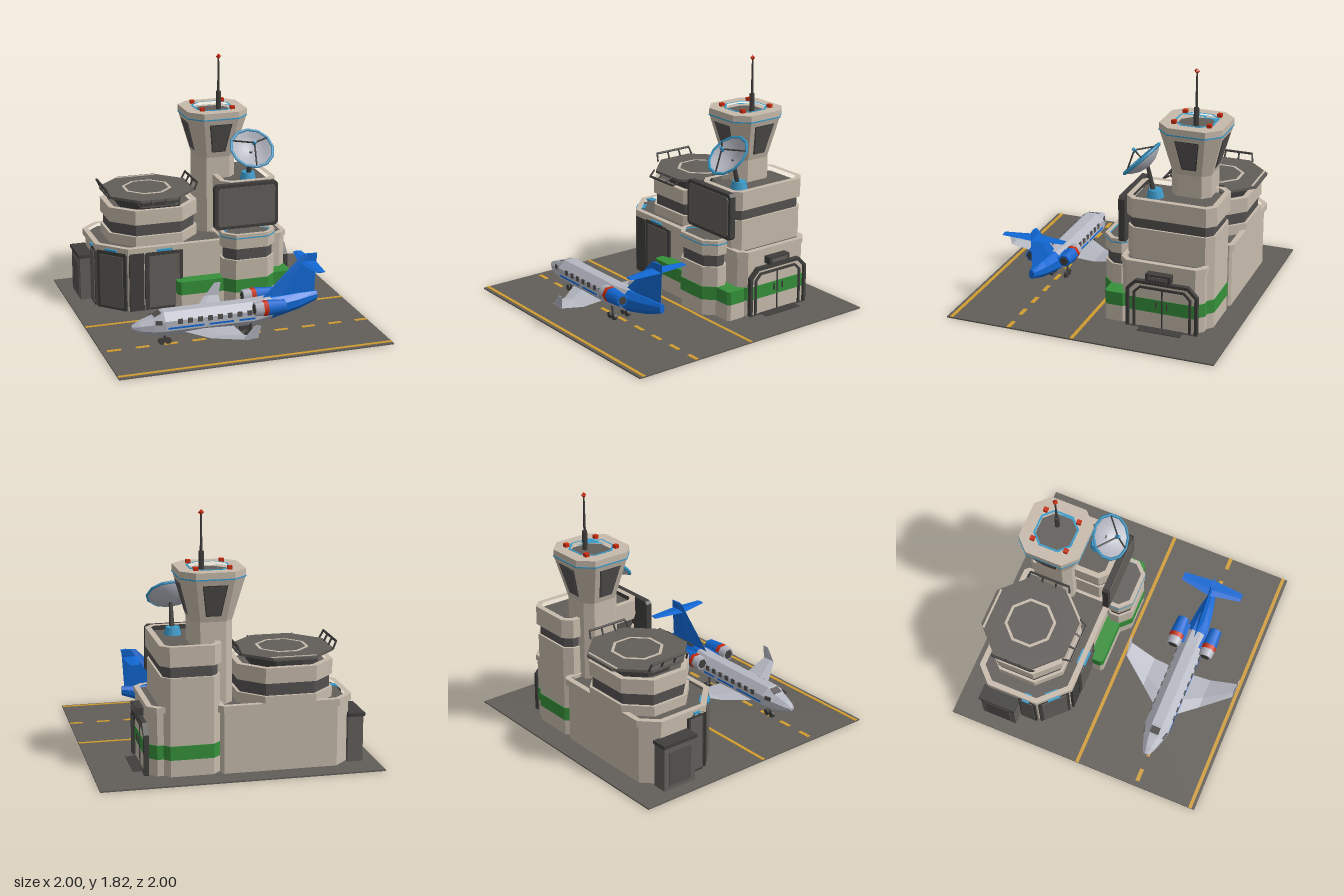
import * as THREE from 'three';

const M = {};
for (const [name, hex] of Object.entries({
  cream: 0xc6baab, asphalt: 0x625e5a, charcoal: 0x403f3d, glass: 0x545150, paleGrey: 0xb4b6c1,
  blue: 0x1168d4, trimBlue: 0x3a9aca, green: 0x35903a, yellow: 0xcf9b30, red: 0xcb2c0e,
})) { M[name] = new THREE.MeshStandardMaterial({ color: hex }); M[name].name = name; }

// Rectangle with cut corners; c lists cuts at (x0,y0) (x1,y0) (x1,y1) (x0,y1), i insets the outline
function plan(x0, x1, y0, y1, c, i = 0) {
  const [a, b, d, e] = (Array.isArray(c) ? c : [c, c, c, c]).map(v => Math.max(v - 0.586 * i, 0.002));
  x0 += i; x1 -= i; y0 += i; y1 -= i;
  return [[x0 + a, y0], [x1 - b, y0], [x1, y0 + b], [x1, y1 - d], [x1 - d, y1], [x0 + e, y1], [x0, y1 - e], [x0, y0 + a]];
}

function extrude(pts, depth, hole) {
  const s = new THREE.Shape(pts.map(p => new THREE.Vector2(...p)));
  if (hole) s.holes.push(new THREE.Path(hole.map(p => new THREE.Vector2(...p))));
  return new THREE.ExtrudeGeometry(s, { depth, bevelEnabled: false });
}

// Horizontal slab from an x,z outline
function slab(pts, y0, y1, hole) {
  const flip = l => l && l.map(([x, z]) => [x, -z]);
  return extrude(flip(pts), y1 - y0, flip(hole)).rotateX(-Math.PI / 2).translate(0, y0, 0);
}

// Flat-shaded skin over equal-length loops, capped at both ends and turned outward
function loft(loops) {
  const n = loops[0].length, tris = [];
  const last = loops.length - 1;
  for (let k = 0; k < last; k++) for (let j = 0; j < n; j++) {
    const a = loops[k][j], b = loops[k][(j + 1) % n], c = loops[k + 1][(j + 1) % n], d = loops[k + 1][j];
    tris.push([a, b, c], [a, c, d]);
  }
  for (let j = 1; j < n - 1; j++) {
    tris.push([loops[0][0], loops[0][j + 1], loops[0][j]]);
    tris.push([loops[last][0], loops[last][j], loops[last][j + 1]]);
  }
  const V = p => new THREE.Vector3(...p);
  const vol = tris.reduce((s, [a, b, c]) => s + V(a).dot(V(b).cross(V(c))), 0);
  const pos = tris.flatMap(([a, b, c]) => (vol < 0 ? [a, c, b] : [a, b, c]).flat());
  const g = new THREE.BufferGeometry();
  g.setAttribute('position', new THREE.Float32BufferAttribute(pos, 3));
  g.computeVertexNormals();
  return g;
}

// Diamond aerofoil section from xa to xb; upright ones are thick along z
function foil(xa, xb, y, z, t, upright = false) {
  const m = xa + (xb - xa) * 0.35, h = t / 2;
  return upright ? [[xa, y, z], [m, y, z + h], [xb, y, z], [m, y, z - h]]
    : [[xa, y, z], [m, y + h, z], [xb, y, z], [m, y - h, z]];
}

function put(parent, name, geo, mat) {
  const m = new THREE.Mesh(geo, mat);
  m.name = name;
  parent.add(m);
  return m;
}
const box = (x0, x1, y0, y1, z0, z1) => new THREE.BoxGeometry(x1 - x0, y1 - y0, z1 - z0)
  .translate((x0 + x1) / 2, (y0 + y1) / 2, (z0 + z1) / 2);

function rod(parent, name, a, b, r, mat, r2 = r) {
  const A = new THREE.Vector3(...a), B = new THREE.Vector3(...b), d = B.clone().sub(A);
  const m = put(parent, name, new THREE.CylinderGeometry(r2, r, d.length(), 6), mat);
  m.position.copy(A).add(B).multiplyScalar(0.5);
  m.quaternion.setFromUnitVectors(new THREE.Vector3(0, 1, 0), d.normalize());
}

// Upright panel centred on the wall line a-b
function panel(parent, name, [ax, az], [bx, bz], y0, y1, t, mat) {
  const m = put(parent, name, new THREE.BoxGeometry(Math.hypot(bx - ax, bz - az), y1 - y0, t), mat);
  m.position.set((ax + bx) / 2, (y0 + y1) / 2, (az + bz) / 2);
  m.rotation.y = Math.atan2(az - bz, bx - ax);
}

// Stacked wall layers [y0, y1, inset, material], then parapet and sunken roof
function block(parent, name, args, layers, top, lip, rim = 0.04) {
  const g = new THREE.Group();
  g.name = name;
  parent.add(g);
  for (const [y0, y1, i, mat] of layers) put(g, name + 'Wall', slab(plan(...args, i), y0, y1), mat);
  put(g, name + 'Parapet', slab(plan(...args), top - lip, top, plan(...args, rim)), M.cream);
  put(g, name + 'Roof', slab(plan(...args, rim - 0.005), top - lip, top - lip * 0.5), M.asphalt);
}

function buildGround(root) {
  put(root, 'ground', box(-1, 1, 0, 0.01, -1, 1), M.asphalt);
  for (const z of [0.04, 0.965]) put(root, 'runwayEdgeLine', box(-1, 1, 0.01, 0.013, z - 0.013, z + 0.013), M.yellow);
  for (let k = 0; k < 10; k++) {
    const x = -0.96 + k * 0.207;
    put(root, 'runwayDash', box(x, Math.min(x + 0.1, 1), 0.01, 0.013, 0.505, 0.535), M.yellow);
  }
}

function buildTerminal(root) {
  const { cream, glass, green, charcoal, asphalt, trimBlue } = M;
  block(root, 'hangar', [-0.82, 0.15, -0.86, -0.15, [0.12, 0.03, 0.03, 0.2]], [[0.01, 0.45, 0.02, cream]], 0.5, 0.05);
  block(root, 'padHouse', [-0.69, -0.01, -0.86, -0.26, 0.16],
    [[0.45, 0.55, 0, cream], [0.55, 0.64, 0.02, glass], [0.64, 0.7, 0, cream]], 0.75, 0.05);
  block(root, 'officeBlock', [0.12, 0.55, -0.84, -0.18, 0.06],
    [[0.01, 0.71, 0.01, cream], [0.13, 0.23, 0.005, green], [0.71, 0.79, 0.025, glass], [0.79, 0.86, 0, cream]], 0.93, 0.07);
  block(root, 'sideHall', [0.3, 0.635, -0.8, -0.17, 0.06],
    [[0.01, 0.46, 0.01, cream], [0.13, 0.23, 0.005, green]], 0.5, 0.04);
  block(root, 'entrance', [0.08, 0.49, -0.22, 0.015, 0.08],
    [[0.01, 0.38, 0.005, cream], [0.13, 0.23, 0, green], [0.38, 0.47, 0.02, glass], [0.47, 0.54, 0, cream],
      [0.548, 0.556, -0.003, trimBlue]], 0.58, 0.04, 0.03);
  put(root, 'frontLedge', slab(plan(-0.26, 0.625, -0.22, -0.06, 0.02), 0.01, 0.13), cream);
  put(root, 'frontLedgeBand', slab(plan(-0.26, 0.625, -0.22, -0.06, 0.02), 0.13, 0.23), green);

  // Hangar doors on the left wall, the angled corner and the front wall
  const doors = [[[-0.8, -0.5], [-0.8, -0.37]], [[-0.795, -0.353], [-0.622, -0.18]], [[-0.49, -0.17], [-0.2, -0.17]]];
  for (const [a, b] of doors) {
    const mix = t => [a[0] + (b[0] - a[0]) * t, a[1] + (b[1] - a[1]) * t];
    panel(root, 'hangarDoorFrame', a, b, 0.01, 0.46, 0.04, charcoal);
    panel(root, 'hangarDoor', mix(0.1), mix(0.9), 0.03, 0.43, 0.054, asphalt);
    panel(root, 'hangarLamp', mix(0.3), mix(0.7), 0.465, 0.48, 0.07, trimBlue);
  }
  put(root, 'hangarPillar', box(-0.61, -0.5, 0.01, 0.46, -0.19, -0.15), charcoal);

  // Service booth
  put(root, 'booth', box(-0.9, -0.79, 0.01, 0.34, -0.78, -0.51), asphalt);
  put(root, 'boothRoof', box(-0.91, -0.79, 0.34, 0.365, -0.79, -0.5), charcoal);
  put(root, 'boothPanel', box(-0.905, -0.9, 0.04, 0.3, -0.74, -0.55), glass);

  // Double door with arched frames on the right wall
  const arch = (w, h, c, t, cut) => extrude(plan(-w, w, 0.01, h, [0, 0, c, c]), t,
    cut && plan(-w + cut, w - cut, 0.011, h - cut, [0, 0, c * 0.8, c * 0.8])).rotateY(Math.PI / 2).translate(0.625, 0, -0.5);
  put(root, 'doorArch', arch(0.265, 0.37, 0.07, 0.035, 0.022), charcoal);
  put(root, 'doorSurround', arch(0.245, 0.35, 0.06, 0.015), cream);
  put(root, 'doorFrame', arch(0.215, 0.325, 0.05, 0.028, 0.016), charcoal);
  put(root, 'doorBand', box(0.63, 0.643, 0.13, 0.23, -0.74, -0.26), green);
  put(root, 'doorGap', box(0.63, 0.646, 0.01, 0.31, -0.505, -0.495), charcoal);
  for (const z of [-0.54, -0.46]) rod(root, 'doorHandle', [0.655, 0.17, z], [0.655, 0.22, z], 0.006, charcoal);
  put(root, 'doorLamp', box(0.62, 0.685, 0.385, 0.44, -0.575, -0.39), charcoal);
  put(root, 'doorLampGlass', box(0.685, 0.689, 0.4, 0.425, -0.555, -0.41), asphalt);
  put(root, 'doorMat', box(0.63, 0.72, 0.01, 0.014, -0.66, -0.34), charcoal);

  // Display board
  put(root, 'boardFrame', extrude(plan(0.045, 0.54, 0.58, 0.925, 0.02), 0.045).translate(0, 0, -0.18), charcoal);
  put(root, 'boardScreen', extrude(plan(0.07, 0.515, 0.605, 0.9, 0.015), 0.006).translate(0, 0, -0.135), asphalt);
}

function buildHelipad(root) {
  const pad = [-0.69, -0.02, -0.91, -0.25, 0.195], ring = [-0.53, -0.18, -0.755, -0.405, 0.103];
  put(root, 'padSupport', slab(plan(...pad, 0.1), 0.72, 0.81), M.charcoal);
  put(root, 'helipad', slab(plan(...pad), 0.81, 0.83), M.asphalt);
  put(root, 'padRing', slab(plan(...ring), 0.83, 0.833, plan(...ring, 0.02)), M.cream);
  put(root, 'padEdgeMark', box(-0.52, -0.2, 0.83, 0.833, -0.89, -0.875), M.cream);
  // Rails along the two sides and a lower one at the front
  const rail = (a, b, inA, inB) => {
    rod(root, 'padRail', a, b, 0.009, M.charcoal);
    for (let k = 0; k < 4; k++) {
      const at = (p, q) => p.map((v, j) => v + (q[j] - v) * k / 3);
      rod(root, 'railPost', at(inA, inB), at(a, b), 0.007, M.charcoal);
    }
  };
  for (const s of [-1, 1]) {
    const x = -0.355 + s * 0.35, xi = -0.355 + s * 0.325;
    rail([x, 0.88, -0.73], [x, 0.88, -0.42], [xi, 0.825, -0.74], [xi, 0.825, -0.41]);
  }
  rail([-0.5, 0.79, -0.2], [-0.21, 0.79, -0.2], [-0.52, 0.825, -0.255], [-0.19, 0.825, -0.255]);
}

function buildTower(root) {
  const g = new THREE.Group();
  g.name = 'controlTower';
  g.position.set(0.165, 0, -0.575);
  root.add(g);
  const sq = (h, c) => plan(-h, h, -h, h, c);
  const loop = (h, c, y) => sq(h, c).map(([x, z]) => [x, y, z]);
  put(g, 'towerShaft', loft([loop(0.145, 0.055, 0.01), loop(0.145, 0.055, 1.06), loop(0.23, 0.095, 1.375)]), M.cream);
  put(g, 'towerBand', slab(sq(0.147, 0.056), 0.13, 0.23), M.green);
  put(g, 'towerTrim', slab(sq(0.233, 0.096), 1.366, 1.375), M.trimBlue);
  put(g, 'towerCrown', slab(sq(0.23, 0.095), 1.375, 1.42, sq(0.145, 0.075)), M.cream);
  put(g, 'crownTrim', slab(sq(0.146, 0.075), 1.375, 1.423, sq(0.132, 0.068)), M.trimBlue);
  put(g, 'towerRoof', slab(sq(0.135, 0.07), 1.375, 1.39), M.asphalt);
  // Sloping windows on four sides
  const depth = y => 0.145 + (y - 1.06) / 0.315 * 0.085;
  const win = (e, t) => loft([t, -0.004].map(o => [[-0.045, 1.11, -e], [0.045, 1.11, -e], [0.08, 1.32, e], [-0.08, 1.32, e]]
    .map(([x, y, s]) => [x + Math.sign(x) * e, y + s, depth(y + s) + o])));
  for (let k = 0; k < 4; k++) {
    put(g, 'windowFrame', win(0.008, 0.003), M.charcoal).rotation.y = k * Math.PI / 2;
    put(g, 'towerWindow', win(0, 0.007), M.glass).rotation.y = k * Math.PI / 2;
  }
  for (const x of [-0.118, 0.118]) for (const z of [-0.13, 0.125])
    put(g, 'beacon', box(x - 0.016, x + 0.016, 1.42, 1.445, z - 0.016, z + 0.016), M.red);
  rod(g, 'antennaBase', [0.055, 1.38, -0.015], [0.055, 1.53, -0.015], 0.02, M.charcoal);
  rod(g, 'antenna', [0.055, 1.53, -0.015], [0.055, 1.79, -0.015], 0.01, M.charcoal, 0.006);
  put(g, 'antennaLight', new THREE.OctahedronGeometry(0.022).translate(0.055, 1.795, -0.015), M.red);
}

function buildDish(root) {
  put(root, 'dishBase', new THREE.CylinderGeometry(0.05, 0.065, 0.06, 8).translate(0.375, 0.92, -0.35), M.trimBlue);
  rod(root, 'dishMast', [0.375, 0.93, -0.335], [0.375, 1.12, -0.29], 0.02, M.charcoal, 0.014);
  const g = new THREE.Group();
  g.name = 'dish';
  g.position.set(0.37, 1.16, -0.245);
  g.rotation.x = 0.77;
  root.add(g);
  const prof = [[0, -0.075], [0.07, -0.062], [0.13, -0.03], [0.168, 0.005], [0.16, 0.008], [0.12, -0.025], [0.06, -0.052], [0, -0.062]];
  put(g, 'dishBowl', new THREE.LatheGeometry(prof.map(p => new THREE.Vector2(...p)), 12), M.paleGrey);
  put(g, 'dishRim', new THREE.TorusGeometry(0.162, 0.012, 4, 12).rotateX(Math.PI / 2), M.trimBlue);
  for (let k = 0; k < 3; k++) {
    const a = Math.PI / 2 + k * Math.PI * 2 / 3;
    rod(g, 'feedArm', [0.155 * Math.cos(a), 0, 0.155 * Math.sin(a)], [0, 0.08, 0], 0.006, M.charcoal);
  }
  put(g, 'feedHorn', new THREE.CylinderGeometry(0.012, 0.016, 0.035, 6).translate(0, 0.08, 0), M.trimBlue);
}

function buildPlane(root) {
  const g = new THREE.Group(), { paleGrey, blue, charcoal, glass, red } = M;
  g.name = 'aeroplane';
  g.position.z = 0.515;
  root.add(g);
  const ring = ([x, y, ry, rz]) => Array.from({ length: 8 }, (_, k) => {
    const a = (k + 0.5) * Math.PI / 4;
    return [x, y + 1.082 * ry * Math.sin(a), 1.082 * rz * Math.cos(a)];
  });
  const mid = [0.24, 0.197, 0.079, 0.085];
  put(g, 'fuselage', loft([[-0.78, 0.165, 0.012, 0.02], [-0.73, 0.162, 0.04, 0.045], [-0.64, 0.165, 0.062, 0.075],
    [-0.56, 0.178, 0.087, 0.095], [0.1, 0.178, 0.087, 0.095], mid].map(ring)), paleGrey);
  put(g, 'tailCone', loft([mid, [0.45, 0.222, 0.06, 0.055], [0.6, 0.245, 0.033, 0.02]].map(ring)), blue);
  put(g, 'tailFin', loft([foil(0.17, 0.58, 0.255, 0, 0.045, true), foil(0.49, 0.6, 0.567, 0, 0.02, true)]), blue);
  put(g, 'tailplane', loft([foil(0.505, 0.57, 0.505, -0.237, 0.01), foil(0.46, 0.59, 0.505, 0, 0.024),
    foil(0.505, 0.57, 0.505, 0.237, 0.01)]), blue);
  const shield = put(g, 'windshield', new THREE.BoxGeometry(0.055, 0.009, 0.07), glass);
  shield.position.set(-0.6, 0.246, 0);
  shield.rotation.z = 0.46;

  const wheel = (x, z) => {
    rod(g, 'gearLeg', [x, 0.03, z], [x, 0.12, z], 0.008, charcoal);
    for (const dx of [-0.025, 0.025])
      put(g, 'wheel', new THREE.CylinderGeometry(0.024, 0.024, 0.022, 8).rotateX(Math.PI / 2).translate(x + dx, 0.034, z), charcoal);
  };
  wheel(-0.54, 0);

  for (const s of [-1, 1]) {
    put(g, 'wing', loft([foil(-0.42, -0.05, 0.11, s * 0.05, 0.035), foil(-0.27, -0.035, 0.108, s * 0.23, 0.022),
      foil(-0.11, 0, 0.16, s * 0.438, 0.012)]), paleGrey);
    put(g, 'winglet', loft([foil(-0.11, 0, 0.157, s * 0.434, 0.012, true), foil(-0.03, 0.02, 0.252, s * 0.444, 0.008, true)]), paleGrey);
    const side = put(g, 'sideWindshield', new THREE.BoxGeometry(0.05, 0.03, 0.009), glass);
    side.position.set(-0.605, 0.207, s * 0.082);
    side.rotation.y = -s * 0.245;
    for (let k = 0; k < 8; k++)
      put(g, 'cabinWindow', box(-0.47 + k * 0.073, -0.435 + k * 0.073, 0.188, 0.223, s * 0.093 - 0.005, s * 0.093 + 0.005), glass);
    for (const [a, b] of [[-0.54, -0.28], [-0.24, -0.06], [-0.02, 0.1]])
      put(g, 'sideStripe', box(a, b, 0.155, 0.168, s * 0.094 - 0.004, s * 0.094 + 0.004), blue);
    // Engine pod on its pylon
    const z = s * 0.132, y = 0.245;
    const pod = (name, a, b, ra, rb, mat) => put(g, name,
      new THREE.CylinderGeometry(ra, rb, b - a, 6).rotateZ(Math.PI / 2).translate((a + b) / 2, y, z), mat);
    pod('engineInlet', 0.08, 0.14, 0.05, 0.056, paleGrey);
    pod('engineBand', 0.14, 0.175, 0.056, 0.057, red);
    pod('engineCowl', 0.175, 0.31, 0.057, 0.046, blue);
    pod('engineFan', 0.077, 0.1, 0.038, 0.038, charcoal);
    pod('engineNozzle', 0.29, 0.315, 0.032, 0.032, charcoal);
    put(g, 'enginePylon', box(0.13, 0.28, 0.232, 0.25, s * 0.08 - 0.03, s * 0.08 + 0.03), blue);
    wheel(0.08, s * 0.058);
  }
}

export function createModel() {
  const root = new THREE.Group();
  root.name = 'airport';
  for (const build of [buildGround, buildTerminal, buildHelipad, buildTower, buildDish, buildPlane]) build(root);
  return root;
}
